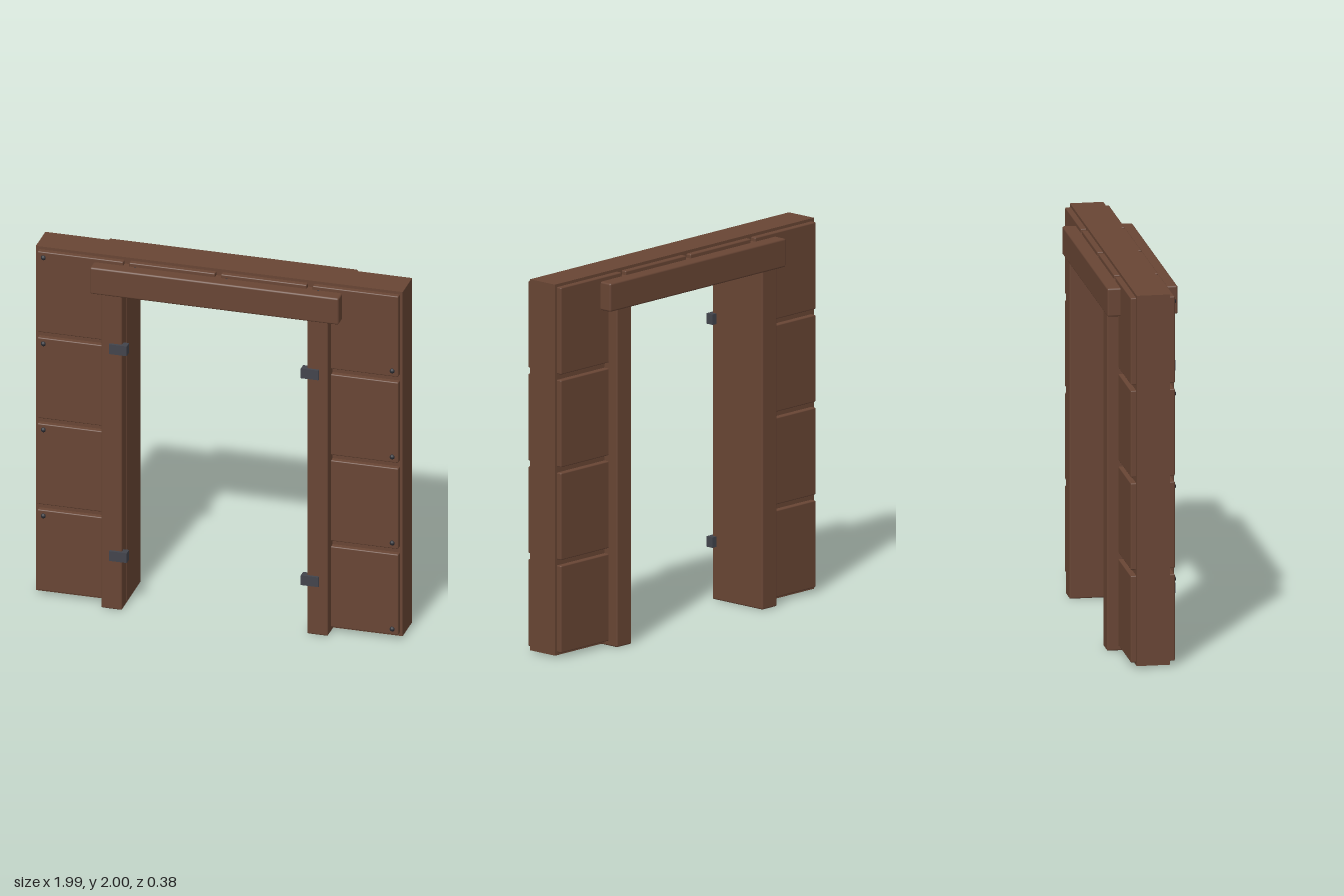
import * as THREE from 'three';
import { RoundedBoxGeometry } from 'three/addons/geometries/RoundedBoxGeometry.js';

export function createModel() {
  const model = new THREE.Group();
  model.name = 'doorFrame';

  const material = (name, color) => {
    const m = new THREE.MeshStandardMaterial({ color });
    m.name = name;
    return m;
  };
  const brown = material('brown', 0x684534);
  const steel = material('steel', 0x42444c);
  const dark = material('darkIron', 0x2c2d33);

  const MID = -0.003; // depth centre of the wall
  const CELL = 0.4975, BASE = 0.01;
  const colX = (c) => (c - 1.5) * CELL;
  const rowY = (r) => BASE + (r + 0.5) * CELL;

  // Box given by its extents, with bevelled edges when bevel > 0
  function box(name, mat, [x0, x1], [y0, y1], [z0, z1], bevel = 0) {
    const w = x1 - x0, h = y1 - y0, d = z1 - z0;
    const geo = bevel
      ? new RoundedBoxGeometry(w, h, d, 2, bevel)
      : new THREE.BoxGeometry(w, h, d);
    const mesh = new THREE.Mesh(geo, mat);
    mesh.name = name;
    mesh.position.set((x0 + x1) / 2, (y0 + y1) / 2, (z0 + z1) / 2);
    model.add(mesh);
  }
  const depth = (half) => [MID - half, MID + half];
  const mirrored = (side, a, b) => (side > 0 ? [a, b] : [-b, -a]);

  // Rivet on the front face of a panel
  const rivetGeo = new THREE.SphereGeometry(0.014, 12, 8);
  function rivet(x, y) {
    const mesh = new THREE.Mesh(rivetGeo, dark);
    mesh.name = 'rivet';
    mesh.position.set(x, y, MID + 0.115);
    model.add(mesh);
  }

  // Wall core: two columns and the lintel between them
  for (const s of [-1, 1]) box('wallColumn', brown, mirrored(s, 0.5, 0.995), [BASE, 2], depth(0.088));
  box('wallLintel', brown, [-0.5, 0.5], [1.83, 2], depth(0.088));

  // Raised panels through both faces of the columns
  for (const c of [0, 3]) {
    for (let r = 0; r < 4; r++) {
      const x = colX(c), y = rowY(r);
      box('wallPanel', brown, [x - 0.233, x + 0.233], [y - 0.233, y + 0.233], depth(0.117), 0.006);
      if (c === 0 || r === 3) rivet(x - 0.2, y + 0.2);
      if (c === 3) rivet(x + 0.2, y - 0.2);
    }
  }

  // Shorter panels above the opening
  for (const c of [1, 2]) {
    const x = colX(c);
    box('lintelPanel', brown, [x - 0.233, x + 0.233], [1.83, rowY(3) + 0.233], depth(0.117), 0.006);
    rivet(x - 0.2, rowY(3) + 0.2);
  }

  // Door trim: jambs, head beam and hinge plates
  for (const s of [-1, 1]) {
    box('jamb', brown, mirrored(s, 0.502, 0.615), [0, 1.825], depth(0.178), 0.008);
    for (const y of [0.312, 1.508]) {
      box('hinge', steel, mirrored(s, 0.472, 0.568), [y - 0.028, y + 0.028], [0.145, 0.189]);
    }
  }
  box('headBeam', brown, [-0.675, 0.675], [1.81, 1.963], depth(0.186), 0.01);

  return model;
}
